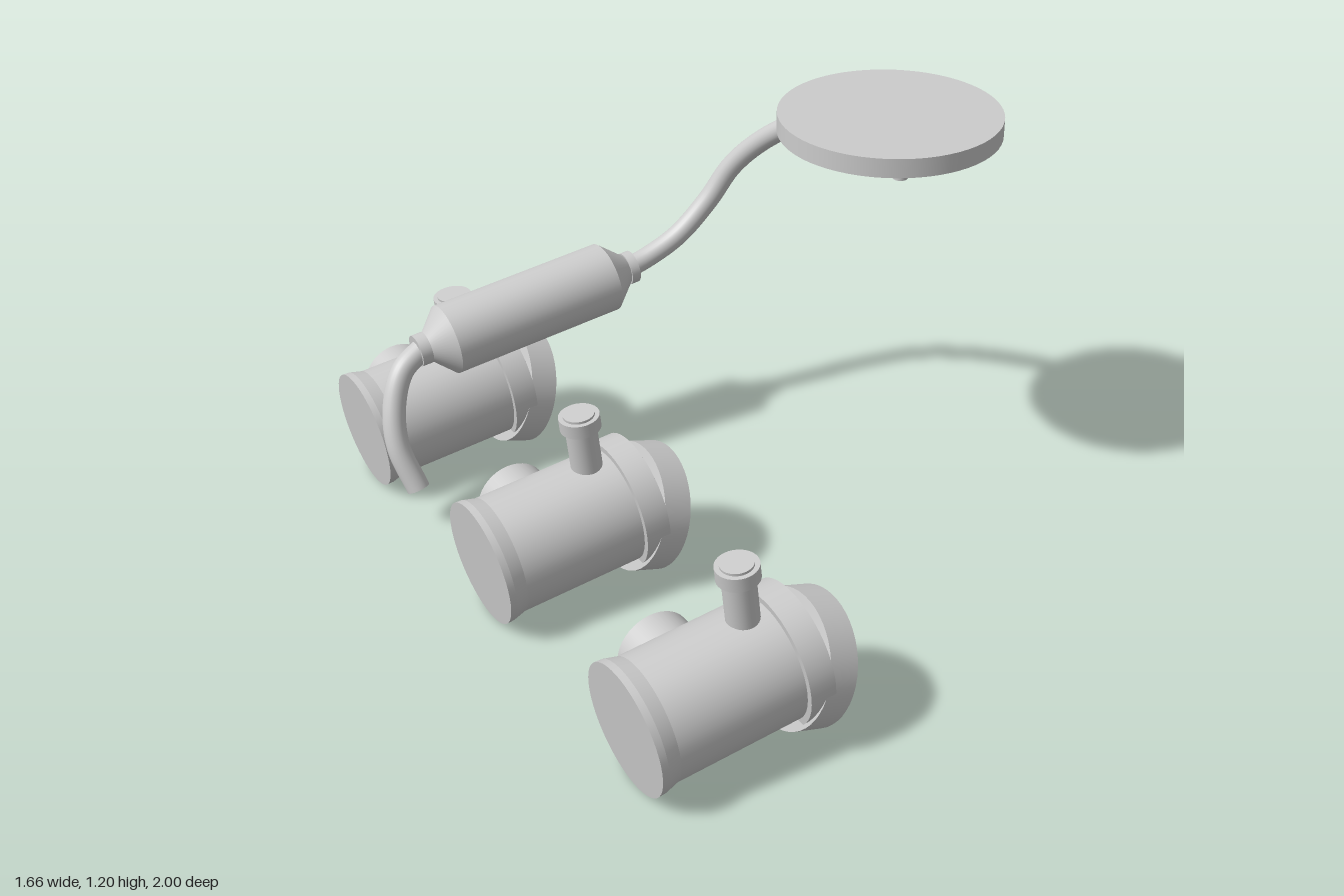
import * as THREE from 'three';

const metal = new THREE.MeshStandardMaterial({ color: 0xcccccc });
metal.name = 'light grey metal';
const V = (x, y, z) => new THREE.Vector3(x, y, z);
const TILT = THREE.MathUtils.degToRad(6);

function add(parent, name, geometry) {
  const mesh = new THREE.Mesh(geometry, metal);
  mesh.name = name;
  parent.add(mesh);
  return mesh;
}

// Solid turned along +x from [distance, radius] pairs, with sharp shoulders
function turned(profile) {
  const pts = [];
  profile.forEach(([s, r], i) => {
    pts.push(new THREE.Vector2(r, s));
    // repeated points keep each band's shading separate
    if (i > 0 && i < profile.length - 1) pts.push(new THREE.Vector2(r, s + 1e-5));
  });
  return new THREE.LatheGeometry(pts, 48).rotateZ(-Math.PI / 2);
}

// Bent pipe with closed ends
function pipe(parent, name, points, radius) {
  const group = new THREE.Group();
  group.name = name;
  const curve = new THREE.CatmullRomCurve3(points);
  add(group, 'pipeWall', new THREE.TubeGeometry(curve, 48, radius, 24));
  [0, 1].forEach((t) => {
    const cap = add(group, 'pipeEnd', new THREE.CircleGeometry(radius, 24));
    const p = curve.getPointAt(t);
    cap.position.copy(p);
    cap.lookAt(p.clone().addScaledVector(curve.getTangentAt(t), t ? 1 : -1));
  });
  parent.add(group);
}

// Throttle body: barrel, slanted end cap, chimney and side boss
function throttleBody(z) {
  const g = new THREE.Group();
  g.name = 'throttleBody';
  g.position.set(-0.81, 0.182, z);
  g.rotation.z = TILT;

  add(g, 'barrel', turned([
    [0, 0], [0, 0.179], [0.02, 0.178], [0.058, 0.168], [0.42, 0.168],
    [0.42, 0.185], [0.493, 0.185], [0.493, 0],
  ]));

  const cap = add(g, 'slantedCap', new THREE.CylinderGeometry(0.183, 0.183, 0.085, 48).rotateZ(-Math.PI / 2));
  cap.position.set(0.503, -0.045, 0);
  cap.rotation.z = -THREE.MathUtils.degToRad(17.5) - TILT;

  const tube = add(g, 'chimney', new THREE.CylinderGeometry(0.044, 0.044, 0.24, 32));
  tube.position.set(0.356, 0.22, 0);
  const top = add(g, 'chimneyCap', new THREE.CylinderGeometry(0.057, 0.057, 0.04, 32));
  top.position.set(0.356, 0.313, 0);

  const boss = add(g, 'sideBoss', new THREE.CylinderGeometry(0.106, 0.106, 0.14, 40).rotateX(Math.PI / 2));
  boss.position.set(0.206, 0.002, -0.142);
  return g;
}

export function createModel() {
  const model = new THREE.Group();
  model.name = 'intakeAndExhaust';

  [-0.79, 0.01, 0.81].forEach((z) => model.add(throttleBody(z)));

  // Silencer with tapered ends and collars
  const silencer = add(model, 'silencer', turned([
    [-0.365, 0], [-0.365, 0.048], [-0.332, 0.048], [-0.332, 0.042], [-0.268, 0.106],
    [0.268, 0.106], [0.337, 0.045], [0.337, 0.05], [0.365, 0.05], [0.365, 0],
  ]));
  silencer.position.set(-0.317, 0.529, -0.64);
  silencer.rotation.z = THREE.MathUtils.degToRad(6.2);

  pipe(model, 'inletPipe', [
    V(0.02, 0.565, -0.64), V(0.09, 0.583, -0.64), V(0.2, 0.64, -0.628), V(0.3, 0.74, -0.612),
    V(0.365, 0.85, -0.58), V(0.42, 0.95, -0.5), V(0.475, 1.06, -0.35), V(0.515, 1.13, -0.21),
  ], 0.032);
  pipe(model, 'tailPipe', [
    V(-0.66, 0.493, -0.64), V(-0.735, 0.45, -0.622), V(-0.782, 0.36, -0.592),
    V(-0.798, 0.25, -0.55), V(-0.77, 0.125, -0.495),
  ], 0.034);

  // Round plate with six bolts underneath
  const plate = new THREE.Group();
  plate.name = 'roundPlate';
  plate.position.set(0.515, 1.178, 0.01);
  add(plate, 'disc', new THREE.CylinderGeometry(0.315, 0.315, 0.055, 64));
  for (let i = 0; i < 6; i++) {
    const a = (i * Math.PI) / 3;
    const bolt = add(plate, 'bolt', new THREE.CylinderGeometry(0.021, 0.021, 0.03, 20));
    bolt.position.set(Math.cos(a) * 0.265, -0.034, Math.sin(a) * 0.265);
  }
  model.add(plate);
  return model;
}
